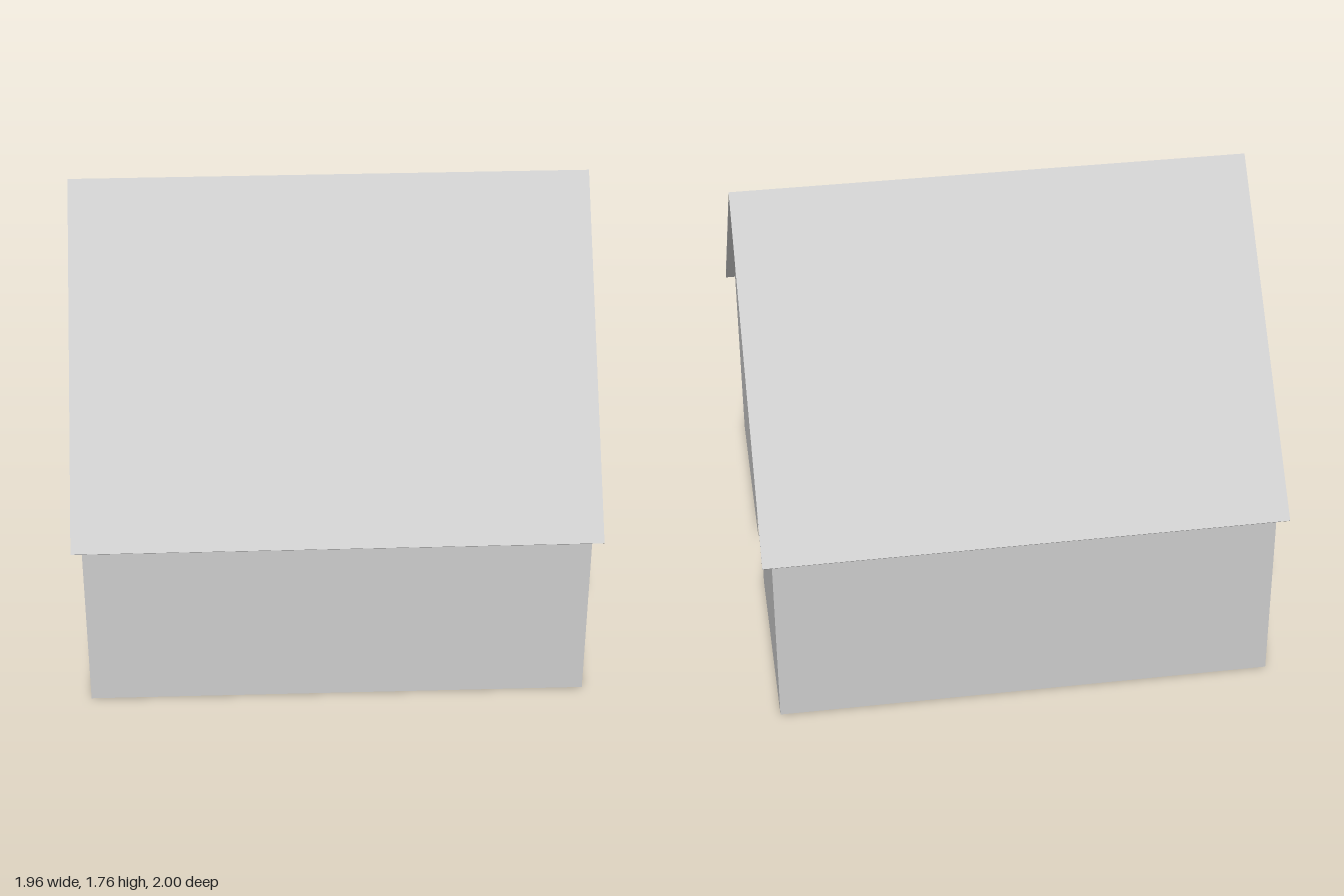
import * as THREE from 'three';

const WALL = 0.945;      // half width of the square wall plan
const ROOF_X = 0.982;    // half length of the roof
const RIDGE = 1.757;     // ridge height
const T = 0.007;         // roof thickness offset along each axis
const UNDER = RIDGE - 2 * T;
const EAVE = UNDER - WALL;

function polygon(points) {
  return new THREE.Shape(points.map(([x, y]) => new THREE.Vector2(x, y)));
}

export function createModel() {
  const house = new THREE.Group();
  house.name = 'house';
  const wallMaterial = new THREE.MeshStandardMaterial({ color: 0xcccccc, side: THREE.DoubleSide });
  const roofMaterial = new THREE.MeshStandardMaterial({ color: 0xcccccc });

  const add = (name, geometry, material) => {
    const mesh = new THREE.Mesh(geometry, material);
    mesh.name = name;
    house.add(mesh);
    return mesh;
  };

  // Thin side walls under the eaves
  for (const [name, side] of [['frontWall', 1], ['backWall', -1]]) {
    const wall = add(name, new THREE.PlaneGeometry(2 * WALL, EAVE), wallMaterial);
    wall.position.set(0, EAVE / 2, side * WALL);
    wall.rotation.y = side > 0 ? 0 : Math.PI;
  }

  // Gable walls; the left one has a doorway with slightly clipped top corners
  const d = 0.137, h = 0.537, c = 0.008;
  const top = [[WALL, EAVE], [0, UNDER], [-WALL, EAVE], [-WALL, 0]];
  const doorway = [[-d, 0], [-d, h - c], [-d + c, h], [d - c, h], [d, h - c], [d, 0]];
  const gables = [
    ['doorGableWall', 1, [[WALL, 0], ...top, ...doorway]],
    ['plainGableWall', -1, [[WALL, 0], ...top]],
  ];
  for (const [name, side, points] of gables) {
    const gable = add(name, new THREE.ShapeGeometry(polygon(points)), wallMaterial);
    gable.rotation.y = side * Math.PI / 2;
    gable.position.x = side * WALL;
  }

  // Thin pitched roof with square-cut eaves, running along x
  const section = polygon([
    [0, RIDGE], [-1, RIDGE - 1], [-1 + T, RIDGE - 1 - T],
    [0, UNDER], [1 - T, RIDGE - 1 - T], [1, RIDGE - 1],
  ]);
  const roof = new THREE.ExtrudeGeometry(section, { depth: 2 * ROOF_X, bevelEnabled: false });
  roof.translate(0, 0, -ROOF_X).rotateY(Math.PI / 2);
  add('roof', roof, roofMaterial);

  return house;
}
